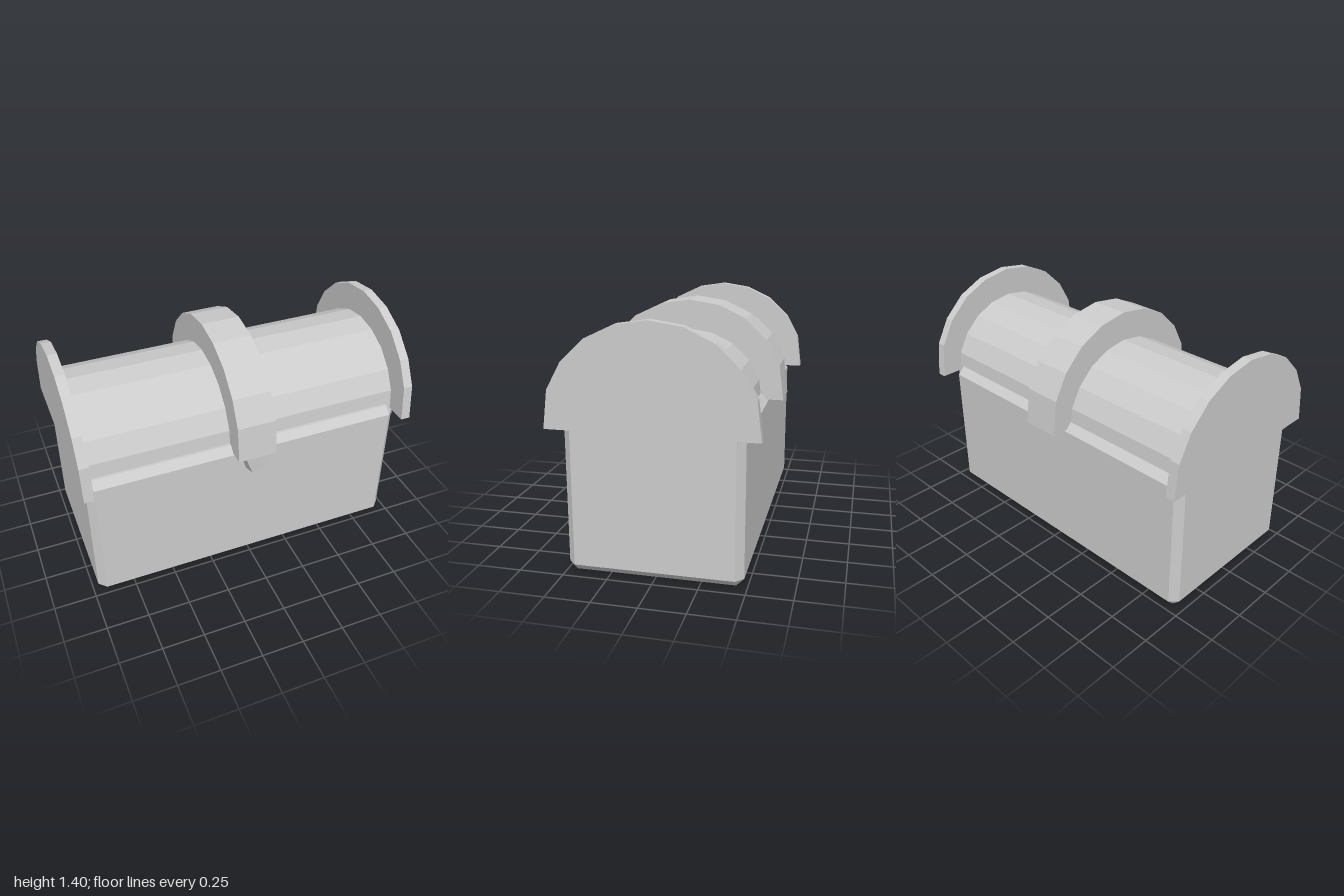
import * as THREE from 'three';
import { ConvexGeometry } from 'three/addons/geometries/ConvexGeometry.js';

const material = new THREE.MeshStandardMaterial({ color: 0xcccccc, flatShading: true });

// Half outline of the faceted arch: [half depth, height], from rim to crown
const ARCH = [[0.569, 0.82], [0.543, 1.03], [0.463, 1.177], [0.335, 1.3], [0.177, 1.375], [0, 1.402]];

function addMesh(group, name, geometry) {
  const mesh = new THREE.Mesh(geometry, material);
  mesh.name = name;
  group.add(mesh);
  return mesh;
}

// Solid arch running along x from x0 to x1
function archGeometry(half, x0, x1) {
  const mirrored = half.slice(0, -1).reverse().map(([z, y]) => [-z, y]);
  const shape = new THREE.Shape([...half, ...mirrored].map(([z, y]) => new THREE.Vector2(z, y)));
  const geometry = new THREE.ExtrudeGeometry(shape, { depth: x1 - x0, bevelEnabled: false });
  return geometry.rotateY(Math.PI / 2).translate(x0, 0, 0);
}

// Box with every edge and corner cut at 45 degrees
function chamferedBox(w, h, d, c) {
  const points = [];
  for (const sx of [-1, 1]) for (const sy of [-1, 1]) for (const sz of [-1, 1]) {
    for (let axis = 0; axis < 3; axis++) {
      const inset = [c, c, c];
      inset[axis] = 0;
      points.push(new THREE.Vector3(
        sx * (w / 2 - inset[0]), sy * (h / 2 - inset[1]), sz * (d / 2 - inset[2])));
    }
  }
  return new ConvexGeometry(points);
}

export function createModel() {
  const chest = new THREE.Group();
  chest.name = 'chest';

  // Body
  const body = addMesh(chest, 'body', chamferedBox(1.92, 0.855, 0.972, 0.043));
  body.position.set(-0.009, 0.4275, 0.006);

  // Lid: the same arch, smaller
  const lidArch = ARCH.map(([z, y]) => [z * 0.78, 1.23 - (1.402 - y) * 0.78]);
  addMesh(chest, 'lid', archGeometry(lidArch, -0.96, 0.96));

  // Bands over the lid
  addMesh(chest, 'rightBand', archGeometry(ARCH, -1, -0.944));
  addMesh(chest, 'middleBand', archGeometry(ARCH, -0.115, 0.115));
  addMesh(chest, 'leftBand', archGeometry(ARCH, 0.944, 1));

  // Latch: tapers downward and narrows slightly to the front
  const latchPoints = [];
  for (const s of [-1, 1]) {
    for (const [x, y, z] of [
      [0.07, 0.822, 0.568], [0.03, 0.715, 0.566], [0.033, 0.705, 0.52],
      [0.036, 0.69, 0.485], [0.08, 0.822, 0.485],
    ]) latchPoints.push(new THREE.Vector3(s * x, y, z));
  }
  addMesh(chest, 'latch', new ConvexGeometry(latchPoints));

  return chest;
}
